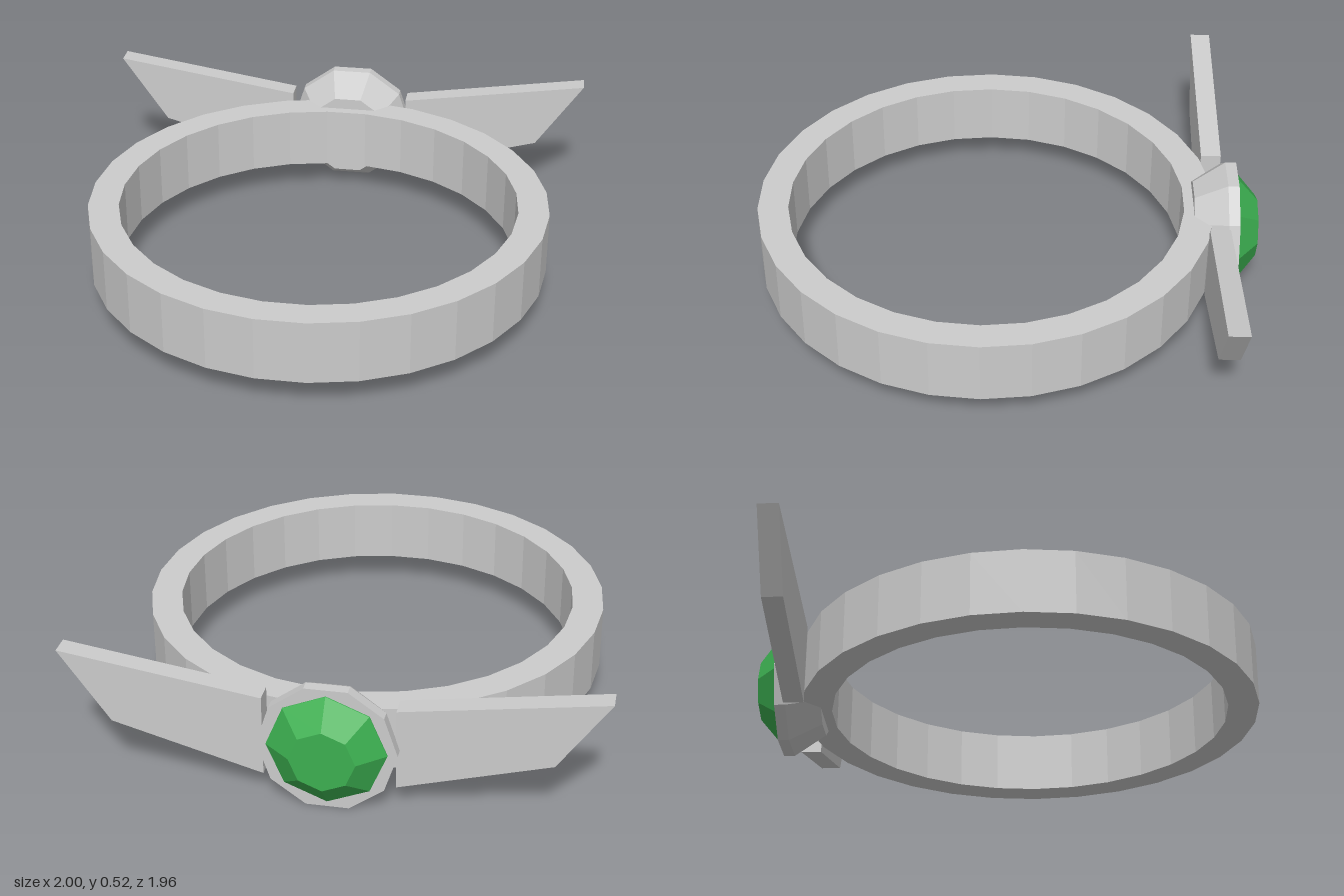
import * as THREE from 'three';

const metal = new THREE.MeshStandardMaterial({ color: 0xcccccc, flatShading: true });
const green = new THREE.MeshStandardMaterial({ color: 0x3caf50, flatShading: true });

// Faceted solid of revolution about y, with a corner on the x axis
function facetedLathe(name, profile, sides, material) {
  const points = profile.map(([r, y]) => new THREE.Vector2(r, y));
  const mesh = new THREE.Mesh(new THREE.LatheGeometry(points, sides, Math.PI / 2), material);
  mesh.name = name;
  return mesh;
}

// Flat wing plate, side = 1 (left) or -1 (right)
function wing(name, side) {
  const outline = [[0.245, 0.09], [0.81, 0.25], [1, 0.525], [0.245, 0.41]];
  const shape = new THREE.Shape(outline.map(([x, y]) => new THREE.Vector2(side * x, y)));
  const geometry = new THREE.ExtrudeGeometry(shape, { depth: 0.08, bevelEnabled: false });
  const mesh = new THREE.Mesh(geometry, metal);
  mesh.name = name;
  mesh.position.z = -0.857;
  return mesh;
}

export function createModel() {
  const model = new THREE.Group();
  model.name = 'wingedRing';

  // Finger band lying flat
  const band = facetedLathe('band',
    [[0.9, 0.125], [0.9, 0.375], [0.78, 0.375], [0.78, 0.125], [0.9, 0.125]], 30, metal);
  band.position.z = 0.085;
  model.add(band);

  // Stone and its cup, pointing out of the back of the band
  const head = new THREE.Group();
  head.name = 'head';
  head.position.set(0, 0.25, -0.73);
  head.rotation.x = -Math.PI / 2;
  head.add(facetedLathe('setting',
    [[0, 0], [0.178, 0], [0.258, 0.125], [0.258, 0.168], [0, 0.168]], 10, metal));
  head.add(facetedLathe('gem',
    [[0, 0.15], [0.222, 0.15], [0.222, 0.172], [0.122, 0.254], [0, 0.254]], 8, green));
  model.add(head);

  // Wings on either side of the stone
  model.add(wing('leftWing', 1), wing('rightWing', -1));
  return model;
}
